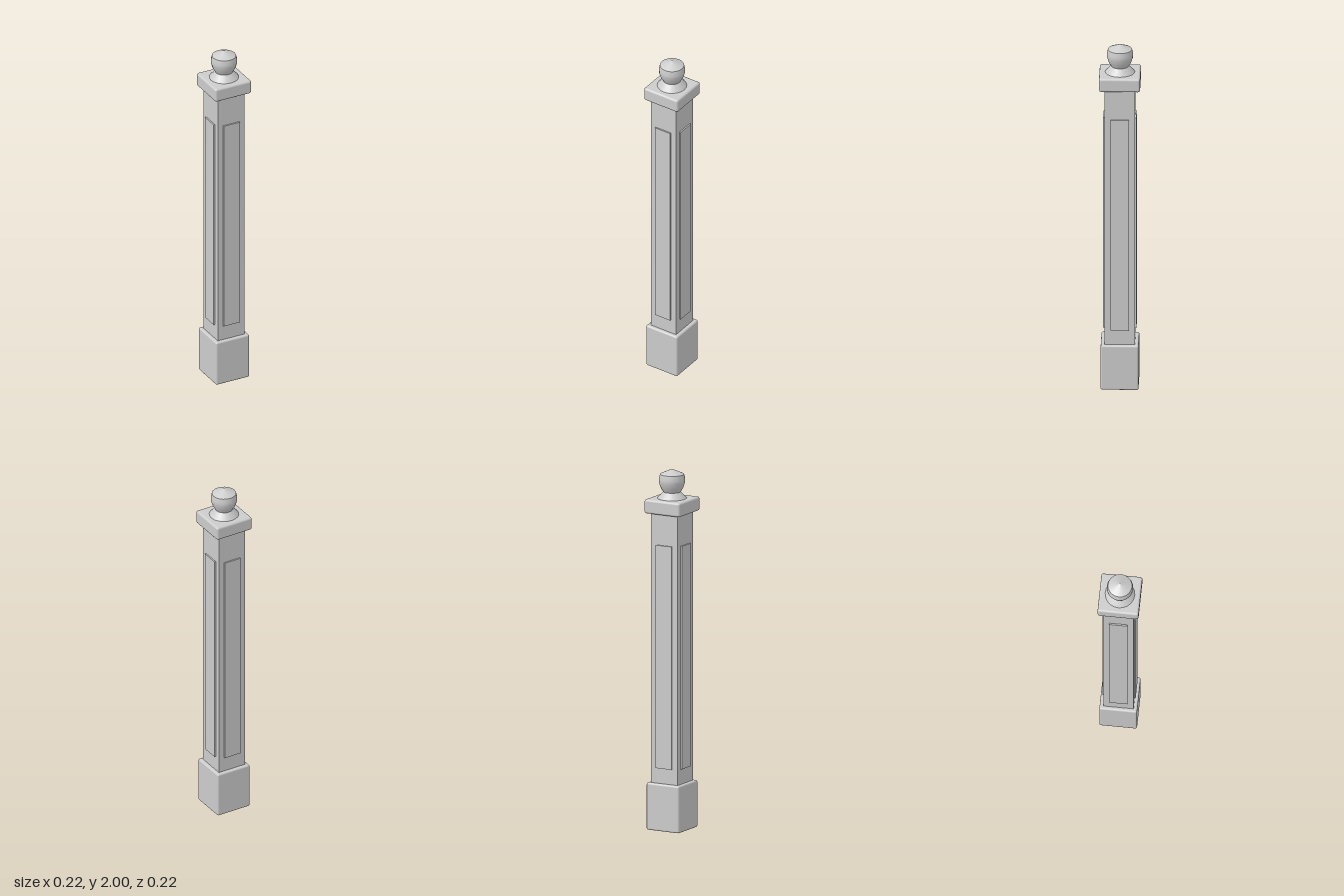
import * as THREE from 'three';
import { RoundedBoxGeometry } from 'three/addons/geometries/RoundedBoxGeometry.js';

export function createModel() {
  const post = new THREE.Group();
  post.name = 'newelPost';
  const paint = new THREE.MeshStandardMaterial({ color: 0xcccccc });
  paint.name = 'paleGrey';

  const add = (name, geometry, parent = post) => {
    const mesh = new THREE.Mesh(geometry, paint);
    mesh.name = name;
    parent.add(mesh);
    return mesh;
  };

  // Softened square block between two heights
  const block = (name, width, bottom, top, radius) => {
    const mesh = add(name, new RoundedBoxGeometry(width, top - bottom, width, 2, radius));
    mesh.position.y = (bottom + top) / 2;
  };
  block('base', 0.206, 0, 0.262, 0.01);
  block('cap', 0.224, 1.76, 1.838, 0.012);

  // Square shaft
  const shaft = add('shaft', new THREE.BoxGeometry(0.166, 1.54, 0.166));
  shaft.position.y = 1.01;

  // Raised panel on each of the four sides
  for (let i = 0; i < 4; i++) {
    const side = new THREE.Group();
    side.name = 'panelSide' + (i + 1);
    side.rotation.y = (i * Math.PI) / 2;
    const panel = add('panel', new THREE.BoxGeometry(0.1, 1.24, 0.012), side);
    panel.position.set(0, 0.967, 0.085);
    post.add(side);
  }

  // Turned finial, one lathe per part to keep the rings between them crisp
  const finial = new THREE.Group();
  finial.name = 'finial';
  post.add(finial);
  const turn = (name, profile) => add(name,
    new THREE.LatheGeometry(profile.map(([r, y]) => new THREE.Vector2(r, y)), 20), finial);
  turn('neck', [[0.081, 1.832], [0.081, 1.838], [0.047, 1.874]]);
  turn('ball', [[0.047, 1.872], [0.062, 1.897], [0.071, 1.925], [0.072, 1.945], [0.066, 1.971]]);
  turn('crown', [[0.066, 1.971], [0, 2]]);

  return post;
}
